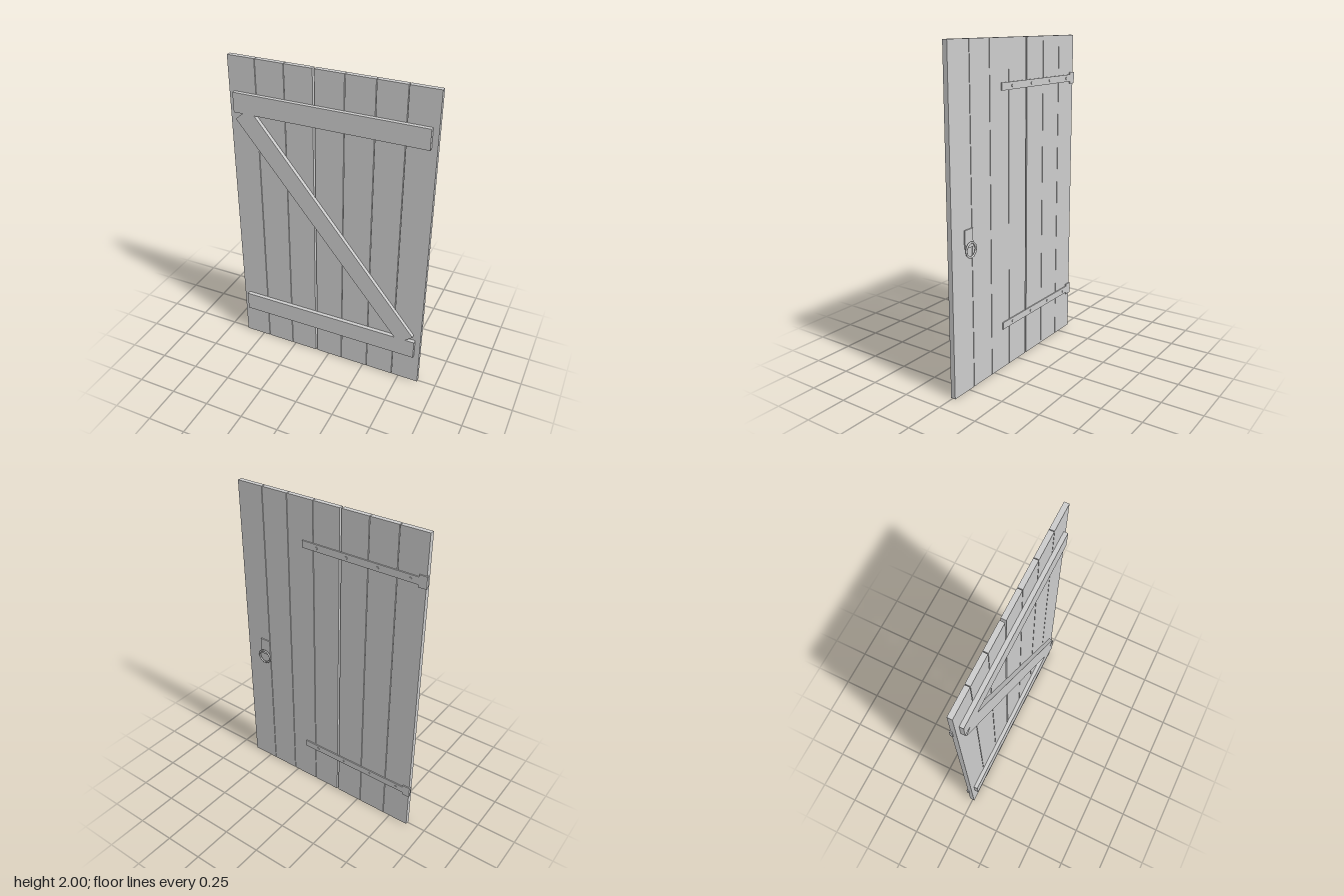
import * as THREE from 'three';

export function createModel() {
  const door = new THREE.Group();
  door.name = 'plankDoor';
  const grey = new THREE.MeshStandardMaterial({ color: 0xcccccc });
  grey.name = 'plain grey';

  const add = (name, geometry, parent = door) => {
    const mesh = new THREE.Mesh(geometry, grey);
    mesh.name = name;
    parent.add(mesh);
    return mesh;
  };
  // Box given by its low and high limits on each axis
  const box = (name, [x0, x1], [y0, y1], [z0, z1], parent) =>
    add(name, new THREE.BoxGeometry(x1 - x0, y1 - y0, z1 - z0), parent)
      .position.set((x0 + x1) / 2, (y0 + y1) / 2, (z0 + z1) / 2);

  const BACK = -0.018, FACE = 0.012, BATTEN = 0.037;

  // Seven upright planks: left and right edges
  const planks = [
    [-0.628, -0.455], [-0.451, -0.274], [-0.27, -0.096], [-0.084, 0.092],
    [0.096, 0.273], [0.277, 0.451], [0.455, 0.631],
  ];
  planks.forEach((x, i) => box(`plank${i + 1}`, x, [0, 2], [BACK, FACE]));

  // Cross battens on the front
  box('upperBatten', [-0.595, 0.597], [1.667, 1.79], [FACE, BATTEN]);
  box('lowerBatten', [-0.595, 0.597], [0.215, 0.338], [FACE, BATTEN]);

  // Diagonal brace, its square ends trimmed against the battens
  const brace = new THREE.Shape([
    [-0.585, 1.628], [0.466, 0.338], [0.538, 0.338],
    [0.585, 0.377], [-0.461, 1.667], [-0.537, 1.667],
  ].map(([x, y]) => new THREE.Vector2(x, y)));
  add('diagonalBrace', new THREE.ExtrudeGeometry(brace, { depth: BATTEN - FACE, bevelEnabled: false }))
    .position.z = FACE;

  // Strap hinges with rivets on the back
  for (const [side, y] of [['upper', 1.73], ['lower', 0.28]]) {
    const hinge = new THREE.Group();
    hinge.name = `${side}Hinge`;
    hinge.position.y = y;
    door.add(hinge);
    box('strap', [-0.585, 0.167], [-0.022, 0.022], [-0.025, BACK], hinge);
    box('hingePlate', [-0.634, -0.585], [-0.036, 0.036], [-0.025, BACK], hinge);
    box('hingeLip', [-0.634, -0.628], [-0.036, 0.036], [BACK, -0.009], hinge);
    for (const x of [-0.537, -0.336, -0.135, 0.067]) {
      const rivet = add('rivet', new THREE.CylinderGeometry(0.008, 0.008, 0.004, 8), hinge);
      rivet.rotation.x = Math.PI / 2;
      rivet.position.set(x, 0, -0.027);
    }
  }

  // Latch plate and pull ring on the back
  box('latchPlate', [0.451, 0.523], [0.868, 0.976], [-0.025, BACK]);
  add('pullRing', new THREE.TorusGeometry(0.043, 0.006, 8, 12))
    .position.set(0.486, 0.858, -0.037);

  return door;
}
